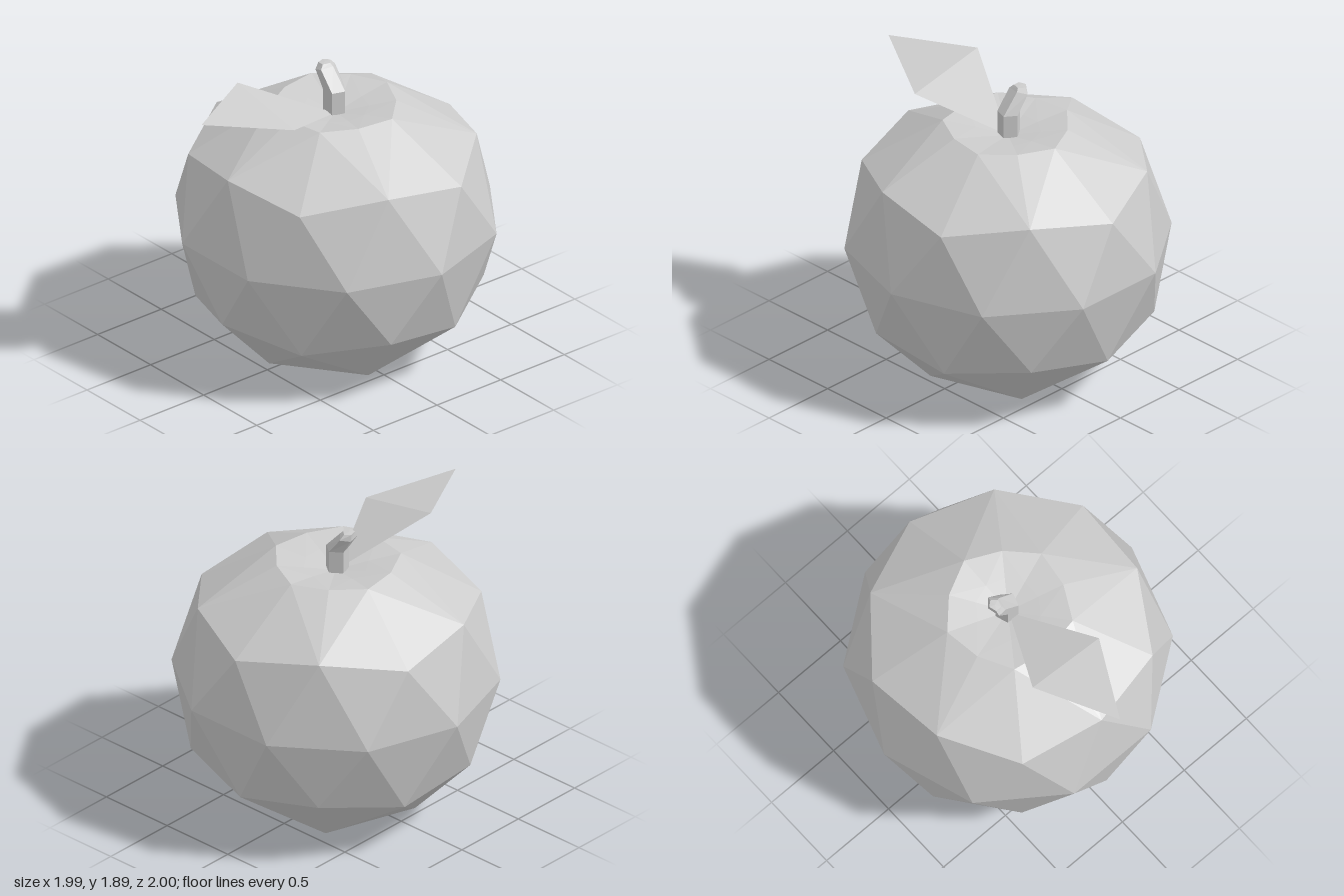
import * as THREE from 'three';

const CX = 0.04; // axis of the fruit, shifted to balance the leaf

// Flat-shaded mesh from a list of triangle corners
function facetMesh(name, points, side = THREE.FrontSide) {
  const geometry = new THREE.BufferGeometry().setFromPoints(points);
  geometry.computeVertexNormals();
  const material = new THREE.MeshStandardMaterial({ color: 0xcccccc, flatShading: true, side });
  const mesh = new THREE.Mesh(geometry, material);
  mesh.name = name;
  return mesh;
}

// Skins consecutive rings, listed from the top down.
// cut(ring, k) tells whether quad k is split from its upper k to its lower k + 1.
function skin(rings, cut) {
  const out = [];
  const tri = (a, b, c) => {
    if (new THREE.Triangle(a, b, c).getArea() > 1e-7) out.push(a, b, c);
  };
  for (let i = 0; i < rings.length - 1; i++) {
    const a = rings[i], b = rings[i + 1], n = a.length;
    for (let k = 0; k < n; k++) {
      const j = (k + 1) % n;
      if (cut(i, k)) {
        tri(a[k], a[j], b[j]);
        tri(a[k], b[j], b[k]);
      } else {
        tri(a[k], a[j], b[k]);
        tri(a[j], b[j], b[k]);
      }
    }
  }
  return out;
}

// Ten-sided ring whose even and odd corners differ in radius and height
function bodyRing([rEven, yEven, rOdd = rEven, yOdd = yEven, turn = 0]) {
  return Array.from({ length: 10 }, (_, k) => {
    const t = (k + turn) * Math.PI / 5;
    const r = k % 2 ? rOdd : rEven;
    return new THREE.Vector3(CX + r * Math.cos(t), k % 2 ? yOdd : yEven, r * Math.sin(t));
  });
}

function makeBody() {
  const c36 = Math.cos(Math.PI / 5);
  const rings = [
    [0, 1.58],                          // bottom of the stem hollow
    [0.2, 1.62],
    [0.4, 1.65, 0.365, 1.65],           // rim of the hollow
    [0.894, 1.327, 0.851, 1.405],       // shoulder
    [1, 0.88, 1, 0.88, 0.5],            // equator, turned half a step
    [0.851, 0.354, 0.894, 0.433],
    [0.526 * c36, 0.04, 0.526, 0.04],   // pentagon round the base
    [0.26 * c36, 0, 0.26, 0],           // edge of the bottom dent
    [0, 0.15],                          // peak of the bottom dent
  ].map(bodyRing);
  return facetMesh('fruitBody', skin(rings, (i, k) => (i === 3 ? false : i === 4 ? true : k % 2 === 0)));
}

// Five-sided stem that bends towards the back
function makeStem() {
  const sections = [
    // x radius, z radius, y, z, tilt
    [0, 0, 1.887, -0.105, 0],
    [0.042, 0.036, 1.885, -0.105, 0],
    [0.072, 0.045, 1.853, -0.097, 0.3],
    [0.072, 0.074, 1.74, -0.01, 0],
    [0.072, 0.074, 1.56, -0.01, 0],
  ];
  const rings = sections.map(([rx, rz, y, z, tilt]) =>
    Array.from({ length: 5 }, (_, k) => {
      const t = k * Math.PI * 2 / 5;
      const dz = rz * Math.sin(t);
      return new THREE.Vector3(CX + rx * Math.cos(t), y + tilt * dz, z + dz);
    }));
  return facetMesh('stem', skin(rings, () => true));
}

// Thin leaf: two triangles folded across the middle
function makeLeaf() {
  const base = new THREE.Vector3(0.03, 1.58, 0);
  const front = new THREE.Vector3(-0.5, 1.75, 0.255);
  const back = new THREE.Vector3(-0.5, 1.855, -0.28);
  const tip = new THREE.Vector3(-1, 1.845, -0.02);
  return facetMesh('leaf', [base, back, front, front, back, tip], THREE.DoubleSide);
}

export function createModel() {
  const group = new THREE.Group();
  group.name = 'fruit';
  group.add(makeBody(), makeStem(), makeLeaf());
  return group;
}
